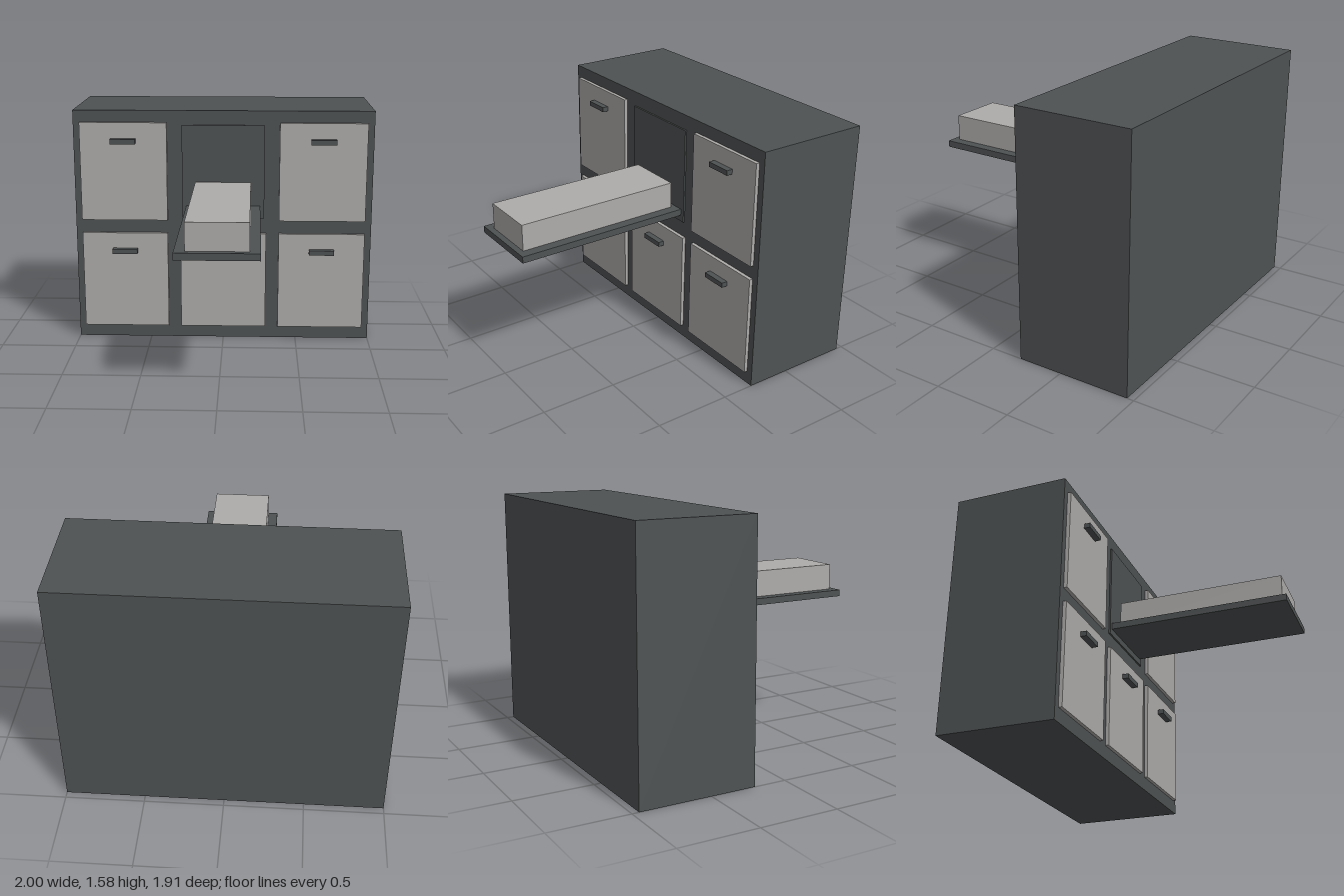
import * as THREE from 'three';

export function createModel() {
  const model = new THREE.Group();
  model.name = 'drawerCabinet';

  const darkGrey = new THREE.MeshStandardMaterial({ color: 0x4e5253 });
  darkGrey.name = 'dark grey';
  const lightGrey = new THREE.MeshStandardMaterial({ color: 0xaeacaa });
  lightGrey.name = 'light grey';

  // Box given by its extents on each axis
  function addBox(name, material, [x0, x1], [y0, y1], [z0, z1]) {
    const mesh = new THREE.Mesh(new THREE.BoxGeometry(x1 - x0, y1 - y0, z1 - z0), material);
    mesh.position.set((x0 + x1) / 2, (y0 + y1) / 2, (z0 + z1) / 2);
    mesh.name = name;
    model.add(mesh);
  }

  const front = -0.21;
  const doorFront = -0.187;

  // Cabinet body
  addBox('cabinet', darkGrey, [-1, 1], [0, 1.582], [-0.957, front]);

  // Closed doors with handles; the upper middle bay is open
  for (const row of [0, 1]) {
    for (const column of [-1, 0, 1]) {
      if (row === 1 && column === 0) continue;
      const x = column * 0.666;
      const y = 0.087 + row * 0.753;
      addBox('door', lightGrey, [x - 0.29, x + 0.29], [y, y + 0.663], [front, doorFront]);
      addBox('handle', darkGrey, [x - 0.084, x + 0.084], [y + 0.525, y + 0.557], [doorFront, -0.147]);
    }
  }

  // Open bay panel, pulled-out tray and the block lying on it
  addBox('openBay', darkGrey, [-0.276, 0.276], [0.856, 1.486], [front, -0.199]);
  addBox('tray', darkGrey, [-0.249, 0.249], [0.897, 0.94], [-0.2, 0.957]);
  addBox('trayBlock', lightGrey, [-0.185, 0.185], [0.94, 1.11], [-0.166, 0.918]);

  return model;
}
